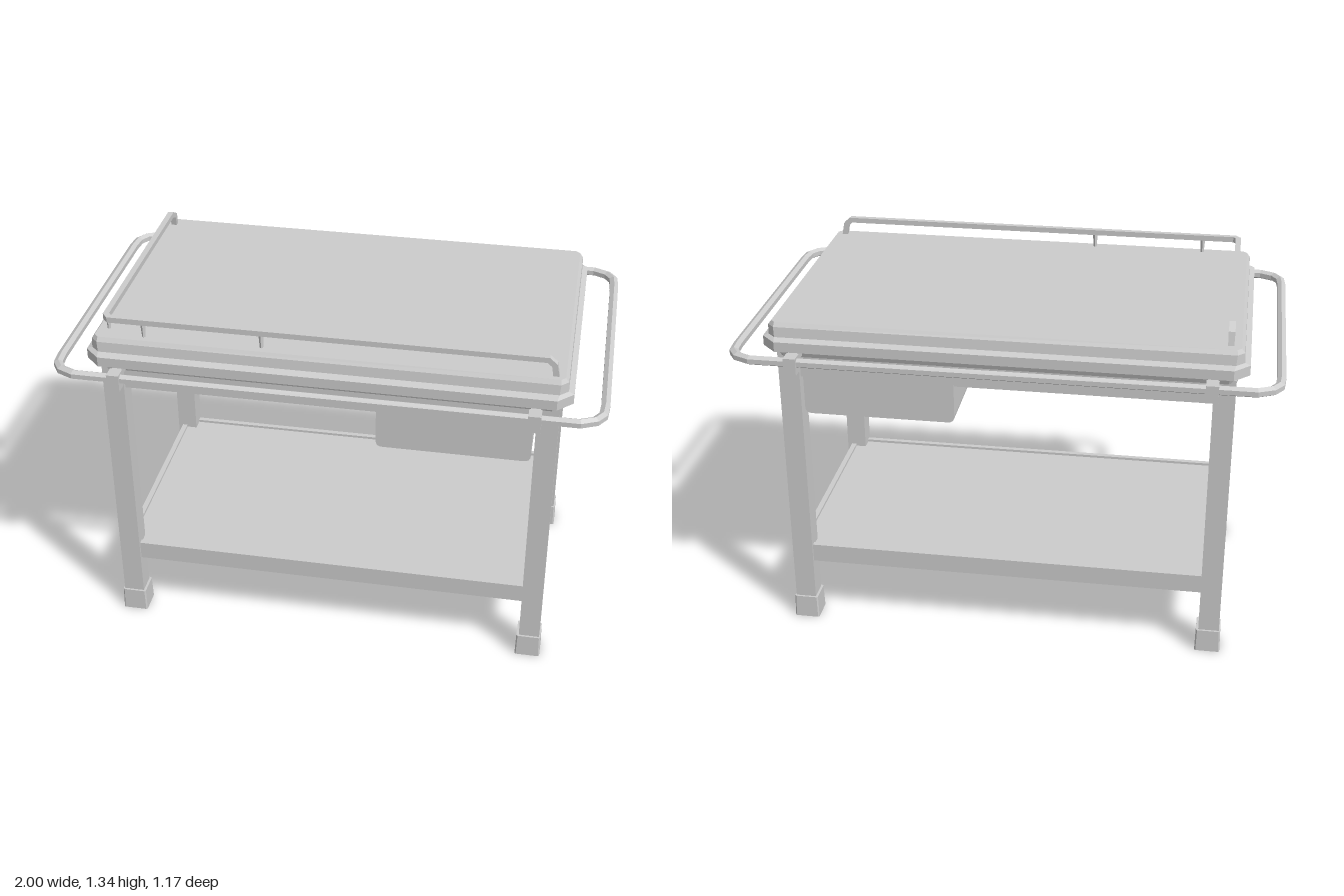
import * as THREE from 'three';

const mat = new THREE.MeshStandardMaterial({ color: 0xcccccc, flatShading: true });

// Skin a list of equal-length rings, each counter-clockwise about the travel direction
function loft(rings, closed = false) {
  const pos = [];
  const m = rings[0].length;
  const tri = (...pts) => pts.forEach((p) => pos.push(p.x, p.y, p.z));
  const spans = closed ? rings.length : rings.length - 1;
  for (let i = 0; i < spans; i++) {
    const r = rings[i];
    const s = rings[(i + 1) % rings.length];
    for (let j = 0; j < m; j++) {
      const k = (j + 1) % m;
      tri(r[j], r[k], s[k]);
      tri(r[j], s[k], s[j]);
    }
  }
  if (!closed) {
    const a = rings[0];
    const b = rings[rings.length - 1];
    for (let j = 1; j < m - 1; j++) {
      tri(a[0], a[j + 1], a[j]);
      tri(b[0], b[j], b[j + 1]);
    }
  }
  const geo = new THREE.BufferGeometry();
  geo.setAttribute('position', new THREE.Float32BufferAttribute(pos, 3));
  geo.computeVertexNormals();
  return geo;
}

// Mitred bar along straight segments
function bar(points, radius, sides, closed = false) {
  const pts = points.map((p) => new THREE.Vector3(...p));
  const n = pts.length;
  const up = new THREE.Vector3(0, 1, 0);
  const rings = pts.map((p, i) => {
    const prev = closed ? pts[(i + n - 1) % n] : pts[Math.max(i - 1, 0)];
    const next = closed ? pts[(i + 1) % n] : pts[Math.min(i + 1, n - 1)];
    const into = p.clone().sub(prev).normalize();
    const out = next.clone().sub(p).normalize();
    const t = into.clone().add(out).normalize();
    const mitre = 1 / Math.max(t.dot(out), t.dot(into), 0.6);
    const side = up.clone().cross(t).normalize();
    const rise = t.clone().cross(side);
    return Array.from({ length: sides }, (_, j) => {
      const a = ((j + 0.5) / sides) * Math.PI * 2;
      return p.clone()
        .addScaledVector(side, Math.cos(a) * radius * mitre)
        .addScaledVector(rise, Math.sin(a) * radius);
    });
  });
  return loft(rings, closed);
}

// Horizontal rectangle with clipped corners
function octagon(w, d, c, y) {
  return [
    [c - w, d], [w - c, d], [w, d - c], [w, c - d],
    [w - c, -d], [c - w, -d], [-w, c - d], [-w, d - c],
  ].map(([x, z]) => new THREE.Vector3(x, y, z));
}

export function createModel() {
  const model = new THREE.Group();
  model.name = 'utilityCart';
  const add = (name, geo, x = 0, y = 0, z = 0) => {
    const mesh = new THREE.Mesh(geo, mat);
    mesh.name = name;
    mesh.position.set(x, y, z);
    model.add(mesh);
    return mesh;
  };
  const box = (name, w, h, d, x, y, z) => add(name, new THREE.BoxGeometry(w, h, d), x, y, z);

  // Legs, feet and rail clamps at the four corners
  for (const sx of [-1, 1]) {
    for (const sz of [-1, 1]) {
      box('leg', 0.078, 1.09, 0.076, sx * 0.789, 0.595, sz * 0.427);
      add('foot', loft([
        octagon(0.048, 0.048, 0.005, 0),
        octagon(0.046, 0.046, 0.005, 0.09),
      ]), sx * 0.787, 0, sz * 0.427);
      box('railClamp', 0.045, 0.065, 0.05, sx * 0.747, 1.138, sz * 0.56);
      box('clampArm', 0.035, 0.03, 0.1, sx * 0.747, 1.155, sz * 0.5);
    }
  }

  // Lower shelf: a shallow tray with a raised rim
  box('shelf', 1.6, 0.062, 0.89, 0, 0.281, 0);
  for (const s of [-1, 1]) {
    box('shelfRim', 1.62, 0.072, 0.02, 0, 0.286, s * 0.445);
    box('shelfRim', 0.02, 0.072, 0.87, s * 0.8, 0.286, 0);
  }

  // Frame under the tabletop
  box('apron', 1.62, 0.1, 0.9, 0, 1.09, 0);

  // Drawer with rounded lower corners, running front to back
  const x0 = 0.18, x1 = 0.74, y0 = 0.895, y1 = 1.13, r = 0.025;
  const face = new THREE.Shape();
  face.moveTo(x0, y1);
  face.lineTo(x0, y0 + r);
  face.quadraticCurveTo(x0, y0, x0 + r, y0);
  face.lineTo(x1 - r, y0);
  face.quadraticCurveTo(x1, y0, x1, y0 + r);
  face.lineTo(x1, y1);
  add('drawer', new THREE.ExtrudeGeometry(face, { depth: 0.91, bevelEnabled: false, curveSegments: 4 }), 0, 0, -0.455);

  // Stepped tabletop
  add('tabletop', loft([
    octagon(0.83, 0.475, 0.03, 1.13),
    octagon(0.835, 0.485, 0.03, 1.155),
    octagon(0.872, 0.53, 0.055, 1.17),
    octagon(0.872, 0.53, 0.055, 1.207),
    octagon(0.852, 0.502, 0.03, 1.215),
    octagon(0.85, 0.497, 0.025, 1.252),
    octagon(0.838, 0.487, 0.015, 1.268),
  ]));

  // Push handles and side rails form one loop around the table
  const corner = [[0.9, 0.562], [0.952, 0.538], [0.977, 0.5], [0.982, 0.44]];
  const loop = [
    ...corner.map(([x, z]) => [x, 1.147, z]),
    ...corner.slice().reverse().map(([x, z]) => [x, 1.147, -z]),
    ...corner.map(([x, z]) => [-x, 1.147, -z]),
    ...corner.slice().reverse().map(([x, z]) => [-x, 1.147, z]),
  ];
  add('handleLoop', bar(loop, 0.018, 6, true));

  // L-shaped guard rail along the front and right edges, ends bent down
  add('guardRail', bar([
    [-0.8, 1.262, -0.445], [-0.8, 1.31, -0.435], [-0.8, 1.329, -0.4],
    [-0.8, 1.329, 0.44], [-0.785, 1.329, 0.458],
    [0.775, 1.329, 0.458], [0.797, 1.31, 0.458], [0.806, 1.262, 0.458],
  ], 0.015, 4));

  // Guard rail posts
  for (const [x, z] of [[-0.66, 0.458], [-0.23, 0.458], [-0.8, 0.42]]) {
    add('guardPost', new THREE.CylinderGeometry(0.01, 0.006, 0.065, 4), x, 1.295, z);
  }
  return model;
}
